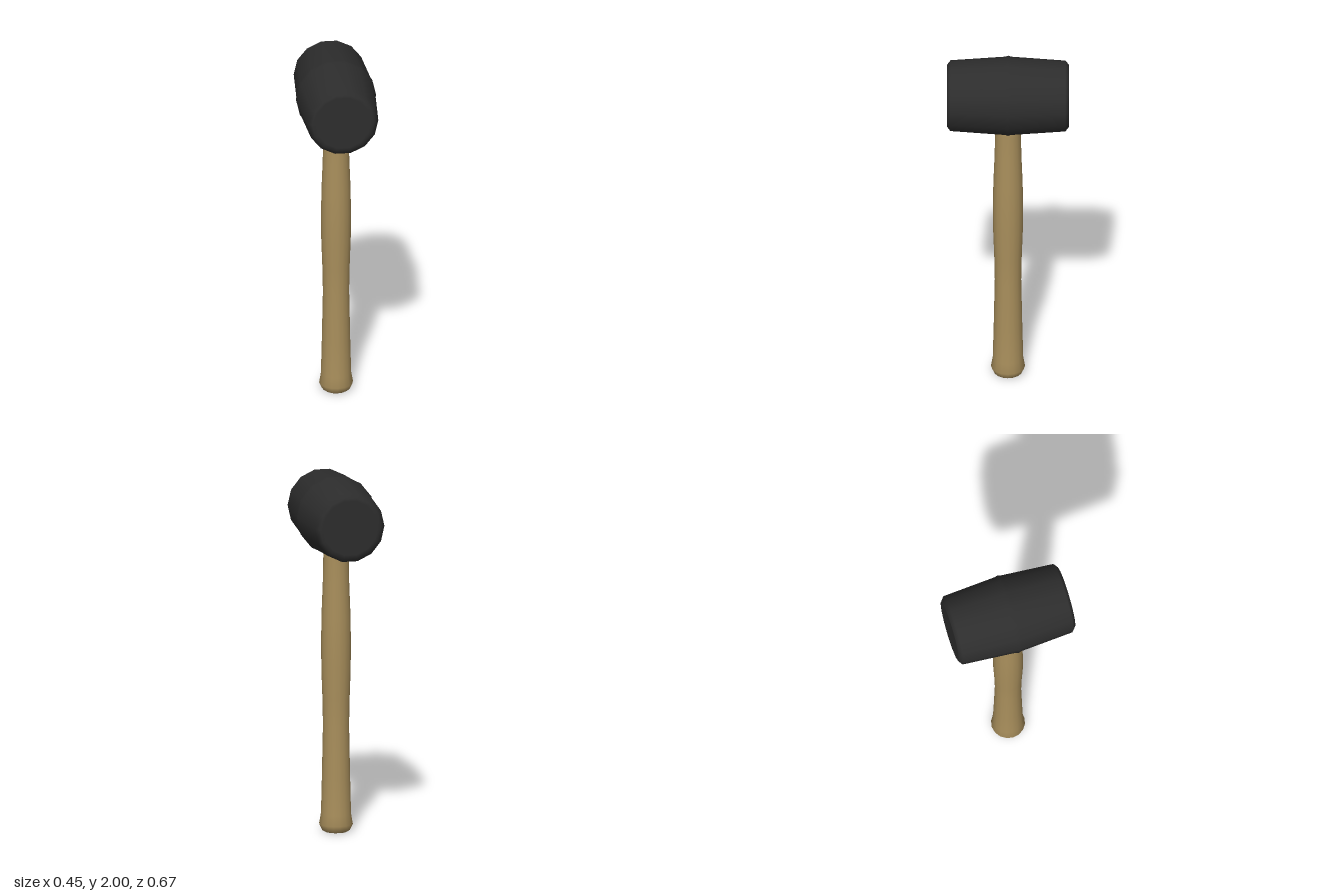
import * as THREE from 'three';

const lathe = (points, sides, start = 0) =>
  new THREE.LatheGeometry(points.map(([r, y]) => new THREE.Vector2(r, y)), sides, start);

export function createModel() {
  const rubber = new THREE.MeshStandardMaterial({ color: 0x2d2d2d });
  rubber.name = 'black rubber';
  const wood = new THREE.MeshStandardMaterial({ color: 0xa98f5c });
  wood.name = 'wood';

  const model = new THREE.Group();
  model.name = 'mallet';

  // Barrel-shaped head: half profile mirrored about the raised centre ridge
  const half = [[0, 0.336], [0.155, 0.336], [0.173, 0.336], [0.197, 0.317], [0.218, 0.015]];
  const profile = [
    ...half.map(([r, y]) => [r, -y]),
    [0.223, 0],
    ...half.slice().reverse(),
  ];
  const headGeometry = lathe(profile, 14, Math.PI / 2);
  headGeometry.rotateX(Math.PI / 2);
  const head = new THREE.Mesh(headGeometry, rubber);
  head.name = 'head';
  head.position.y = 1.7826;
  model.add(head);

  // Turned handle with a swollen grip and flared butt, ending inside the head
  const handle = new THREE.Mesh(lathe([
    [0, 0], [0.066, 0], [0.078, 0.008], [0.094, 0.042], [0.084, 0.1],
    [0.079, 0.3], [0.073, 0.6], [0.076, 0.75], [0.082, 0.92], [0.083, 1.08],
    [0.081, 1.22], [0.074, 1.4], [0.071, 1.55], [0.071, 1.7], [0, 1.7],
  ], 16), wood);
  handle.name = 'handle';
  model.add(handle);

  return model;
}
